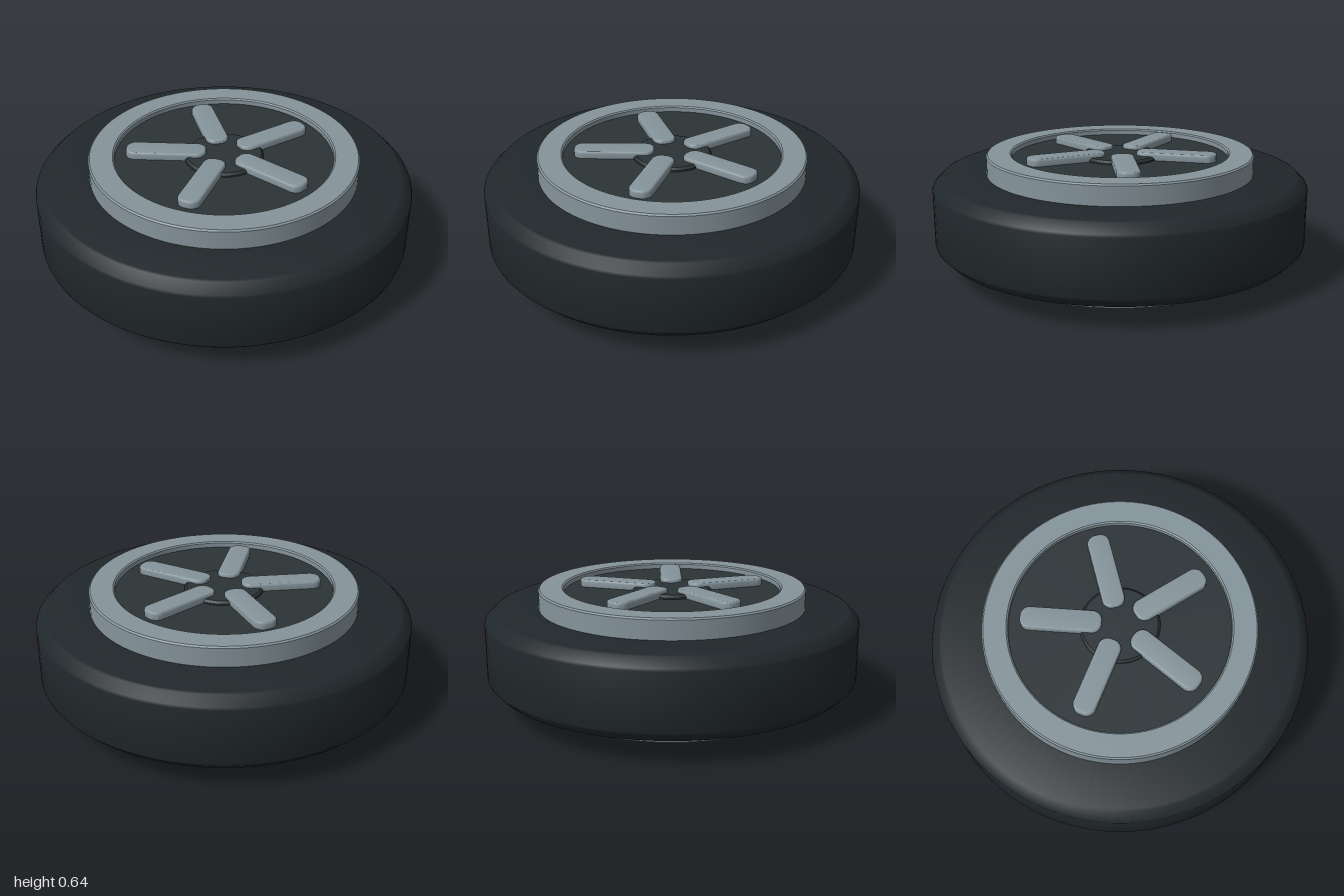
import * as THREE from 'three';
import { toCreasedNormals } from 'three/addons/utils/BufferGeometryUtils.js';

const MID = 0.32; // height of the wheel's middle plane

// Closed ring or disc turned from [radius, height above middle] points, listed bottom to top
function turned(name, points, material) {
  const profile = points.map(([r, y]) => new THREE.Vector2(r, y));
  const geometry = toCreasedNormals(new THREE.LatheGeometry(profile, 96), 0.6);
  const mesh = new THREE.Mesh(geometry, material);
  mesh.name = name;
  return mesh;
}

// Spoke outline: a long bar with rounded corners, lying along +x
function spokeGeometry(start, end, width, depth) {
  const bevel = 0.01, r = 0.04;
  const x0 = start + bevel, x1 = end - bevel, h = width / 2 - bevel;
  const s = new THREE.Shape();
  s.moveTo(x0 + r, -h);
  s.lineTo(x1 - r, -h);
  s.absarc(x1 - r, -h + r, r, -Math.PI / 2, 0);
  s.absarc(x1 - r, h - r, r, 0, Math.PI / 2);
  s.absarc(x0 + r, h - r, r, Math.PI / 2, Math.PI);
  s.absarc(x0 + r, -h + r, r, Math.PI, Math.PI * 1.5);
  const g = new THREE.ExtrudeGeometry(s, {
    depth: depth - 2 * bevel, bevelEnabled: true, bevelSize: bevel,
    bevelThickness: bevel, bevelSegments: 3, curveSegments: 6,
  });
  g.translate(0, 0, bevel);
  g.rotateX(-Math.PI / 2);
  return toCreasedNormals(g, 0.7);
}

export function createModel() {
  const rubber = new THREE.MeshStandardMaterial({ color: 0x20272a });
  const dark = new THREE.MeshStandardMaterial({ color: 0x2b3336 });
  const metal = new THREE.MeshStandardMaterial({ color: 0x85949b });

  const wheel = new THREE.Group();
  wheel.name = 'wheel';
  const body = new THREE.Group();
  body.name = 'wheelBody';
  body.position.y = MID;
  wheel.add(body);

  // Tyre with chamfered shoulders
  body.add(turned('tyre', [
    [0.6, -0.205], [0.94, -0.205], [0.952, -0.2], [0.995, -0.158], [1, -0.145],
    [1, 0.145], [0.995, 0.158], [0.952, 0.2], [0.94, 0.205], [0.6, 0.205],
  ], rubber));

  // Rim band standing out on both sides of the tyre
  body.add(turned('rim', [
    [0.58, 0.305], [0.588, 0.312], [0.58, 0.305], [0.58, -0.305], [0.588, -0.312],
    [0.707, -0.312], [0.715, -0.304], [0.715, 0.304], [0.707, 0.312], [0.588, 0.312],
  ].slice(2).concat([[0.58, 0.305]]), metal));

  // Recessed centre disc and raised hub
  body.add(turned('centreDisc', [[0, -0.28], [0.585, -0.28], [0.585, 0.28], [0, 0.28]], dark));
  body.add(turned('hub', [
    [0, -0.3], [0.198, -0.3], [0.21, -0.288], [0.21, 0.288], [0.198, 0.3], [0, 0.3],
  ], dark));

  // Five spokes on each face
  const bar = spokeGeometry(0.095, 0.52, 0.12, 0.06);
  for (const side of [1, -1]) {
    const face = new THREE.Group();
    face.name = side > 0 ? 'upperSpokes' : 'lowerSpokes';
    if (side < 0) face.rotation.x = Math.PI;
    for (let i = 0; i < 5; i++) {
      const spoke = new THREE.Mesh(bar, metal);
      spoke.name = 'spoke';
      spoke.position.y = 0.26;
      spoke.rotation.y = (i * Math.PI * 2) / 5;
      face.add(spoke);
    }
    body.add(face);
  }
  return wheel;
}
